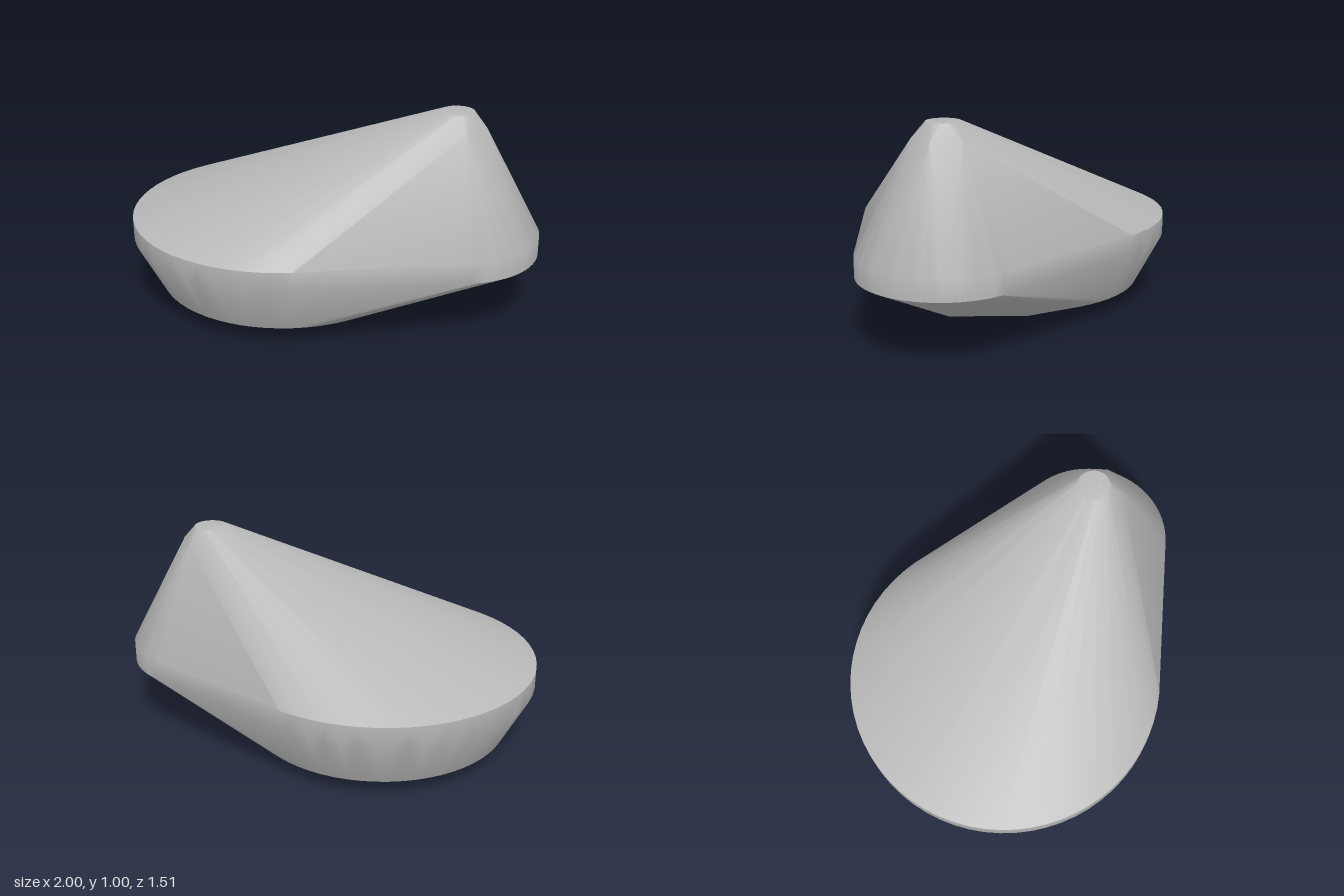
import * as THREE from 'three';
import { ConvexGeometry } from 'three/addons/geometries/ConvexGeometry.js';
import { toCreasedNormals } from 'three/addons/utils/BufferGeometryUtils.js';

// Horizontal ring of points around (cx, y, 0)
function ring(cx, y, radius, count, start = 0) {
  return Array.from({ length: count }, (_, i) => {
    const a = start + (i / count) * Math.PI * 2;
    return new THREE.Vector3(cx + radius * Math.cos(a), y, radius * Math.sin(a));
  });
}

export function createModel() {
  const group = new THREE.Group();
  group.name = 'wedgeHull';
  const grey = new THREE.MeshStandardMaterial({ color: 0xb8b8b8 });
  grey.name = 'grey';

  const bigX = -0.245, smallX = 0.605, peakX = 0.595;
  const points = [
    // wide rounded end: straight rim, bevel and three-cornered foot
    ...ring(bigX, 0.425, 0.755, 64),
    ...ring(bigX, 0.33, 0.755, 64),
    ...ring(bigX, 0.085, 0.63, 64),
    ...ring(bigX, 0, 0.45, 3, Math.PI / 2),
    // narrow rounded end with its three-cornered underside
    ...ring(smallX, 0.425, 0.395, 64),
    ...ring(smallX, 0.327, 0.395, 64),
    ...ring(smallX, 0.19, 0.18, 3, Math.PI / 2),
    // peak: six-sided shoulder and small round cap
    ...ring(peakX, 0.935, 0.14, 6),
    ...ring(peakX, 1.005, 0.078, 32),
  ];

  // One skin wrapped tightly around all the rings
  const body = new THREE.Mesh(toCreasedNormals(new ConvexGeometry(points), 0.53), grey);
  body.name = 'body';
  group.add(body);
  return group;
}
